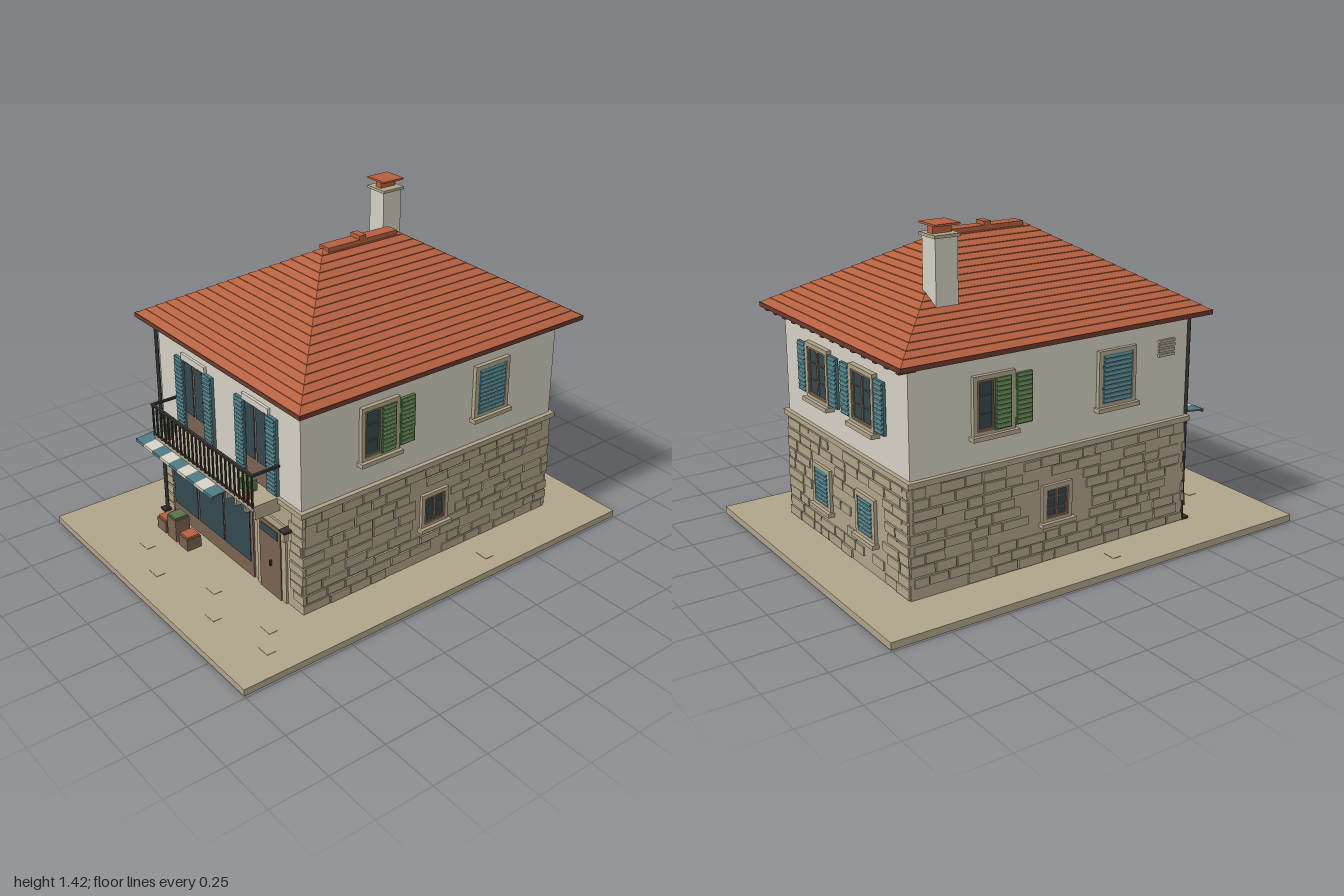
import * as THREE from 'three';
import { mergeGeometries } from 'three/addons/utils/BufferGeometryUtils.js';

const mat = (name, color, extra = {}) => {
  const m = new THREE.MeshStandardMaterial({ color, ...extra });
  m.name = name;
  return m;
};

export function createModel() {
  const M = {
    stone: mat('stone', 0xb0a48a), plaster: mat('plaster', 0xd5d0c3),
    tile: mat('roof tile', 0xb5603f, { flatShading: true }), eave: mat('eave wood', 0x6b3a2c),
    teal: mat('teal paint', 0x4d7880), glass: mat('dark glass', 0x34484e),
    wood: mat('brown wood', 0x7a6250), iron: mat('iron', 0x35332f), green: mat('green', 0x58754a),
  };
  const model = new THREE.Group();
  model.name = 'house';
  const geo = (x0, x1, y0, y1, z0, z1) => new THREE.BoxGeometry(x1 - x0, y1 - y0, z1 - z0)
    .translate((x0 + x1) / 2, (y0 + y1) / 2, (z0 + z1) / 2);
  const add = (parent, name, m, g) => {
    const mesh = new THREE.Mesh(g, m);
    mesh.name = name;
    parent.add(mesh);
    return mesh;
  };
  const box = (parent, name, m, ...b) => add(parent, name, m, geo(...b));
  let seed = 7;
  const rnd = () => (seed = (seed * 16807) % 2147483647) / 2147483647;

  // Ground slab, walls and ledge
  box(model, 'ground', M.stone, -0.74, 0.74, 0, 0.03, -1, 1);
  box(model, 'groundFloor', M.stone, -0.512, 0.512, 0.03, 0.49, -0.783, 0.563);
  box(model, 'upperFloor', M.plaster, -0.508, 0.508, 0.49, 0.957, -0.775, 0.563);
  box(model, 'ledge', M.stone, -0.528, 0.528, 0.487, 0.51, -0.793, 0.578);
  [[-0.3, 0.8], [-0.1, 0.87], [0.15, 0.75], [0.3, 0.85], [0.5, 0.72], [0.6, 0.8], [-0.62, 0.1], [0.64, -0.3]].forEach(([x, z]) =>
    box(model, 'pavingStone', M.stone, x - 0.03, x + 0.03, 0.03, 0.032, z - 0.02, z + 0.02));

  // Each wall group looks along its own +z with its surface at z = 0
  const wall = (name, angle, dist) => {
    const g = new THREE.Group();
    g.name = name;
    g.rotation.y = angle;
    g.position.set(Math.sin(angle) * dist, 0, -0.11 + Math.cos(angle) * dist);
    model.add(g);
    return g;
  };
  const masonry = (g, u0, u1, holes, keep) => {
    const parts = [];
    for (let r = 0; r < 10; r++) {
      const y = 0.034 + r * 0.045;
      for (let u = u0 + rnd() * 0.02; u < u1 - 0.03;) {
        const e = Math.min(u + 0.055 + rnd() * 0.08, u1);
        const h = 0.034 + rnd() * 0.008, d = 0.004 + rnd() * 0.004, s = u;
        if (rnd() < keep && !holes.some(([a, b, c, k]) => e > a && s < b && y + h > c && y < k))
          parts.push(geo(s, e, y, y + h, -0.01, d));
        u = e + 0.006;
      }
    }
    add(g, 'stoneBlocks', M.stone, mergeGeometries(parts));
  };
  const frame = (g, m, x0, x1, y0, y1, t, d) => {
    box(g, 'frameSide', m, x0, x0 + t, y0, y1, -0.01, d);
    box(g, 'frameSide', m, x1 - t, x1, y0, y1, -0.01, d);
    box(g, 'frameTop', m, x0 + t, x1 - t, y1 - t, y1, -0.01, d);
    box(g, 'frameBottom', m, x0 + t, x1 - t, y0, y0 + t, -0.01, d);
  };
  const shutter = (g, m, x0, x1, y0, y1, d = 0.012) => {
    box(g, 'shutter', m, x0, x1, y0, y1, 0, d);
    const slats = [], n = Math.round((y1 - y0) / 0.019);
    for (let i = 0; i < n; i++) {
      const y = y0 + (i + 0.5) * (y1 - y0) / n;
      slats.push(new THREE.BoxGeometry(x1 - x0 - 0.012, 0.01, 0.004).rotateX(-0.5).translate((x0 + x1) / 2, y, d + 0.002));
    }
    add(g, 'shutterSlats', m, mergeGeometries(slats));
  };
  const win = (g, x, w, y0, y1, glazed = true) => {
    const a = x - w / 2, b = x + w / 2;
    frame(g, M.stone, a, b, y0, y1, 0.018, 0.014);
    box(g, 'windowSill', M.stone, a - 0.01, b + 0.01, y0 - 0.014, y0 + 0.004, -0.01, 0.03);
    if (!glazed) return;
    box(g, 'windowGlass', M.glass, a + 0.018, b - 0.018, y0 + 0.018, y1 - 0.018, -0.005, 0.004);
    frame(g, M.wood, a + 0.018, b - 0.018, y0 + 0.018, y1 - 0.018, 0.01, 0.01);
    box(g, 'windowBar', M.wood, x - 0.006, x + 0.006, y0 + 0.02, y1 - 0.02, 0, 0.009);
    for (const k of [0.36, 0.66])
      box(g, 'windowBar', M.wood, a + 0.02, b - 0.02, y0 + k * (y1 - y0) - 0.002, y0 + k * (y1 - y0) + 0.002, 0, 0.008);
  };

  // Side walls, alike by half a turn
  for (const s of [1, -1]) {
    const g = wall(s > 0 ? 'leftWall' : 'rightWall', s * Math.PI / 2, 0.512);
    masonry(g, -0.674, 0.674, [[-0.08, 0.08, 0.18, 0.37]], 0.85);
    win(g, 0, 0.145, 0.2, 0.36);
    win(g, -0.3, 0.19, 0.63, 0.868);
    shutter(g, M.green, -0.3, -0.225, 0.645, 0.85, 0.018);
    shutter(g, M.green, -0.203, -0.125, 0.645, 0.85, 0.014);
    win(g, 0.293, 0.19, 0.63, 0.868, false);
    shutter(g, M.teal, 0.218, 0.368, 0.647, 0.85);
    if (s < 0) for (let i = 0; i < 4; i++)
      box(g, 'ventSlat', M.stone, 0.515, 0.6, 0.79 + i * 0.02, 0.802 + i * 0.02, -0.01, 0.006);
  }
  // Back wall
  const back = wall('backWall', Math.PI, 0.673);
  masonry(back, -0.51, 0.51, [[-0.28, -0.1, 0.15, 0.36], [0.1, 0.28, 0.15, 0.36]], 0.85);
  for (const x of [-0.187, 0.187]) {
    win(back, x, 0.19, 0.63, 0.868);
    for (const s of [-1, 1]) shutter(back, M.teal, x + s * 0.135 - 0.036, x + s * 0.135 + 0.036, 0.645, 0.855);
    win(back, x, 0.155, 0.17, 0.355, false);
    shutter(back, M.teal, x - 0.058, x + 0.058, 0.188, 0.337);
  }

  // Front wall with corner stones, shop window and door
  const front = wall('frontWall', 0, 0.673);
  masonry(front, 0.43, 0.52, [], 0.9);
  masonry(front, -0.52, -0.455, [], 0.9);
  box(front, 'shopFrame', M.wood, -0.447, 0.18, 0.03, 0.44, -0.01, 0.008);
  for (const x of [-0.432, -0.228, -0.028])
    box(front, 'shopGlass', M.glass, x, x + 0.19, 0.1, 0.37, 0, 0.011);
  box(front, 'shopSign', M.teal, -0.432, 0.167, 0.368, 0.425, 0, 0.018);
  box(front, 'shopBeam', M.iron, -0.447, 0.18, 0.42, 0.466, 0, 0.036);
  box(front, 'doorFrame', M.stone, 0.212, 0.41, 0.03, 0.393, -0.01, 0.009);
  box(front, 'door', M.wood, 0.236, 0.381, 0.03, 0.363, 0, 0.014);
  box(front, 'doorGlass', M.glass, 0.25, 0.365, 0.308, 0.345, 0, 0.017);
  box(front, 'doorHandle', M.iron, 0.315, 0.321, 0.17, 0.195, 0, 0.024);
  box(front, 'lampArm', M.iron, 0.417, 0.455, 0.393, 0.402, 0, 0.045);
  box(front, 'lamp', M.stone, 0.424, 0.448, 0.355, 0.393, 0.02, 0.042);

  // Awning in stripes
  for (let i = 0; i < 9; i++) {
    const w = 0.597 / 9, x = -0.43 + i * w, m = i % 2 ? M.plaster : M.teal;
    const g = geo(0, w, -0.003, 0.003, -0.09, 0.09).rotateX(0.1).translate(x, 0.485, 0.658);
    add(model, 'awningStripe', m, g);
    box(model, 'awningEdge', m, x, x + w, 0.466, 0.48, 0.743, 0.748);
  }

  // Balcony with brackets, railing and flower pots
  box(model, 'balconySlab', M.stone, -0.37, 0.37, 0.488, 0.51, 0.56, 0.69);
  for (let i = 0; i < 12; i++) {
    const x = -0.36 + i * 0.0655;
    box(model, 'balconyBracket', M.stone, x - 0.006, x + 0.006, 0.447, 0.49, 0.56, 0.68);
  }
  box(model, 'topRail', M.iron, -0.373, 0.373, 0.644, 0.654, 0.685, 0.697);
  box(model, 'bottomRail', M.iron, -0.37, 0.37, 0.51, 0.517, 0.687, 0.695);
  for (let i = 0; i <= 24; i++) {
    const x = -0.367 + i * 0.734 / 24;
    box(model, 'railingBar', M.iron, x - 0.0035, x + 0.0035, 0.505, 0.648, 0.6875, 0.6945);
  }
  for (const s of [-1, 1]) {
    box(model, 'sideRail', M.iron, s * 0.368 - 0.005, s * 0.368 + 0.005, 0.644, 0.654, 0.56, 0.69);
    const x = s * 0.297;
    add(model, 'flowerPot', M.tile, new THREE.CylinderGeometry(0.022, 0.017, 0.045, 10).translate(x, 0.532, 0.663));
    box(model, 'flowerPlant', M.green, x - 0.026, x + 0.026, 0.545, 0.595, 0.637, 0.684);
    // Balcony door
    const c = s * 0.224;
    box(front, 'balconyDoor', M.wood, c - 0.072, c + 0.072, 0.51, 0.848, 0, 0.008);
    for (const k of [-1, 1]) {
      box(front, 'balconyDoorGlass', M.glass, c + k * 0.037 - 0.03, c + k * 0.037 + 0.03, 0.61, 0.846, 0, 0.011);
      shutter(front, M.teal, c + k * 0.107 - 0.034, c + k * 0.107 + 0.034, 0.512, 0.847, 0.014);
    }
    box(front, 'balconyDoorLintel', M.plaster, c - 0.09, c + 0.09, 0.848, 0.875, 0, 0.012);
  }

  // Drainpipe and crates
  add(model, 'drainpipe', M.iron, new THREE.CylinderGeometry(0.008, 0.008, 0.92, 10).translate(-0.496, 0.5, 0.582));
  box(model, 'drainFoot', M.iron, -0.515, -0.48, 0.03, 0.042, 0.57, 0.605);
  [[-0.363, 0.083, M.tile], [-0.277, 0.134, M.green], [-0.186, 0.083, M.tile]].forEach(([x, h, m]) => {
    box(model, 'crate', M.wood, x - 0.035, x + 0.035, 0.03, h, 0.62, 0.69);
    box(model, 'crateGoods', m, x - 0.03, x + 0.03, h, h + 0.01, 0.625, 0.685);
  });

  // Hipped roof in overlapping tile courses
  const ring = (t, lift) => {
    const x = 0.587 * (1 - t), zf = 0.622 - 0.552 * t, zb = -0.848 + 0.558 * t, y = 0.975 + 0.338 * t + lift;
    return [[x, y, zf], [x, y, zb], [-x, y, zb], [-x, y, zf]];
  };
  const pos = [], N = 18, rings = [];
  for (let i = 0; i < N; i++) rings.push(ring(i / N, i ? 0.003 : 0), ring((i + 1) / N, 0));
  for (let i = 0; i + 1 < rings.length; i++) for (let k = 0; k < 4; k++) {
    const a = rings[i][k], b = rings[i][(k + 1) % 4], c = rings[i + 1][(k + 1) % 4], d = rings[i + 1][k];
    pos.push(...a, ...b, ...c, ...a, ...c, ...d);
  }
  const roof = new THREE.BufferGeometry();
  roof.setAttribute('position', new THREE.Float32BufferAttribute(pos, 3));
  roof.computeVertexNormals();
  add(model, 'roof', M.tile, roof);
  box(model, 'eaves', M.eave, -0.59, 0.59, 0.957, 0.976, -0.851, 0.625);
  for (let i = 0; i < 14; i++) {
    const x = -0.55 + i * 1.1 / 13;
    box(model, 'rafterEnd', M.eave, x - 0.012, x + 0.012, 0.944, 0.958, -0.84, -0.77);
  }
  box(model, 'ridgeTile', M.tile, -0.03, 0.03, 1.3, 1.319, -0.29, -0.118);
  box(model, 'ridgeTile', M.tile, -0.03, 0.03, 1.3, 1.319, -0.118, 0.066);
  box(model, 'ridgeCap', M.tile, -0.03, 0.03, 1.315, 1.335, -0.127, -0.093);

  // Chimney
  box(model, 'chimney', M.plaster, -0.36, -0.265, 1.0, 1.367, -0.56, -0.462);
  box(model, 'chimneySlab', M.stone, -0.37, -0.255, 1.366, 1.378, -0.568, -0.454);
  box(model, 'chimneyVent', M.tile, -0.33, -0.295, 1.378, 1.411, -0.552, -0.47);
  box(model, 'chimneyHood', M.tile, -0.369, -0.257, 1.41, 1.418, -0.567, -0.455);
  return model;
}
